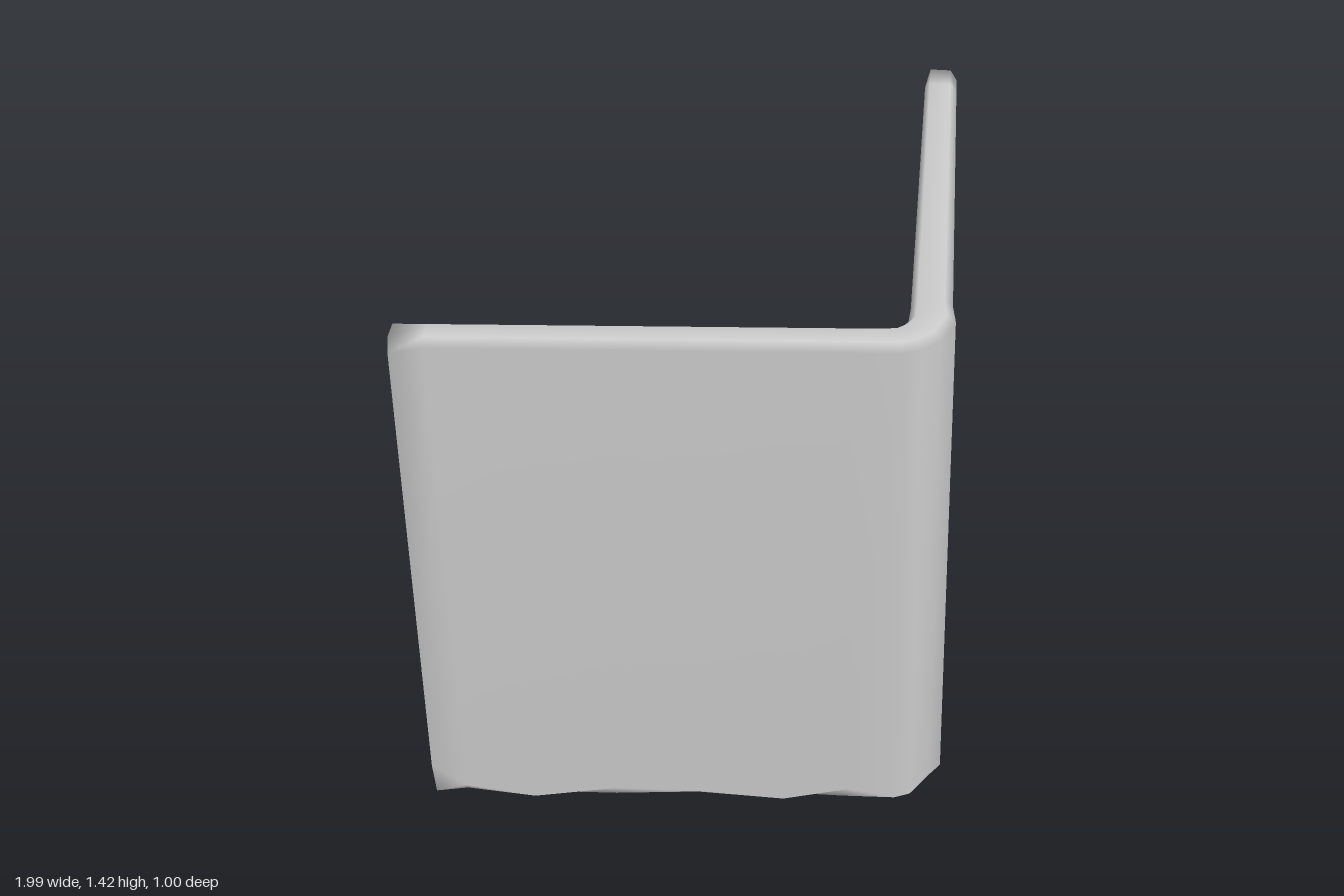
import * as THREE from 'three';

const HEIGHT = 1.42;

// Plan of the folded wall: [outer x, outer z, inner x, inner z]
const leftEnd = [-1, -0.45, -0.93, -0.505];
const rightEnd = [0.99, -0.355, 0.94, -0.425];
const fold = [
  [-0.21, 0.47, -0.18, 0.365],
  [-0.17, 0.49, -0.155, 0.39],
  [-0.11, 0.5, -0.127, 0.395],
  [-0.02, 0.47, -0.1, 0.39],
  [0.03, 0.42, -0.05, 0.355],
];
const mix = (a, b, t) => a.map((v, i) => v + (b[i] - v) * t);

// Stations along the wall, closer together near the ends
function makeStations() {
  const steps = [0.07, 0.22, 0.4, 0.58, 0.76, 0.9];
  return [
    leftEnd,
    ...steps.map((t) => mix(leftEnd, fold[0], t)),
    ...fold,
    ...steps.map((t) => mix(rightEnd, fold[4], t)).reverse(),
    rightEnd,
  ];
}

// Softly bevelled upright cross-section, as points in a loop
function section([ox, oz, ix, iz], i, last) {
  const wear = 0.03 + 0.02 * Math.sin(i * 2.3);   // uneven lower edge
  let outLow = wear, inLow = 0.025, outTop = 0.02, inTop = 0.015;
  if (i === 0) { outLow = 0.11; outTop = 0.035; }
  if (i === last) { inLow = 0.08; inTop = 0.05; outTop = 0.03; }
  const at = (t, y) => [ox + (ix - ox) * t, y, oz + (iz - oz) * t];
  const base = i > 0 && i < last ? 0.006 + 0.006 * Math.sin(i * 1.7) : 0;
  return [
    at(0, outLow), at(0, HEIGHT - outTop),
    at(0.2, HEIGHT), at(0.85, HEIGHT),
    at(1, HEIGHT - inTop), at(1, inLow),
    at(0.85, base), at(0.3, base),
  ];
}

function wallGeometry() {
  const stations = makeStations();
  const last = stations.length - 1;
  const rings = stations.map((s, i) => section(s, i, last));
  const n = rings[0].length;
  const pos = rings.flat(2);
  const index = [];
  for (let s = 0; s < last; s++) {
    for (let k = 0; k < n; k++) {
      const a = s * n + k, b = s * n + (k + 1) % n;
      index.push(a, a + n, b + n, a, b + n, b);
    }
  }
  // End caps, fanned from a centre point
  [0, last].forEach((s) => {
    const [ox, oz, ix, iz] = stations[s];
    const centre = pos.length / 3;
    pos.push((ox + ix) / 2, HEIGHT / 2, (oz + iz) / 2);
    for (let k = 0; k < n; k++) {
      const a = s * n + k, b = s * n + (k + 1) % n;
      index.push(centre, ...(s === 0 ? [a, b] : [b, a]));
    }
  });
  const geo = new THREE.BufferGeometry();
  geo.setAttribute('position', new THREE.Float32BufferAttribute(pos, 3));
  geo.setIndex(index);
  geo.computeVertexNormals();
  return geo;
}

export function createModel() {
  const group = new THREE.Group();
  group.name = 'foldedScreen';
  const wall = new THREE.Mesh(
    wallGeometry(),
    new THREE.MeshStandardMaterial({ color: 0xcccccc }),
  );
  wall.name = 'foldedPanels';
  group.add(wall);
  return group;
}
